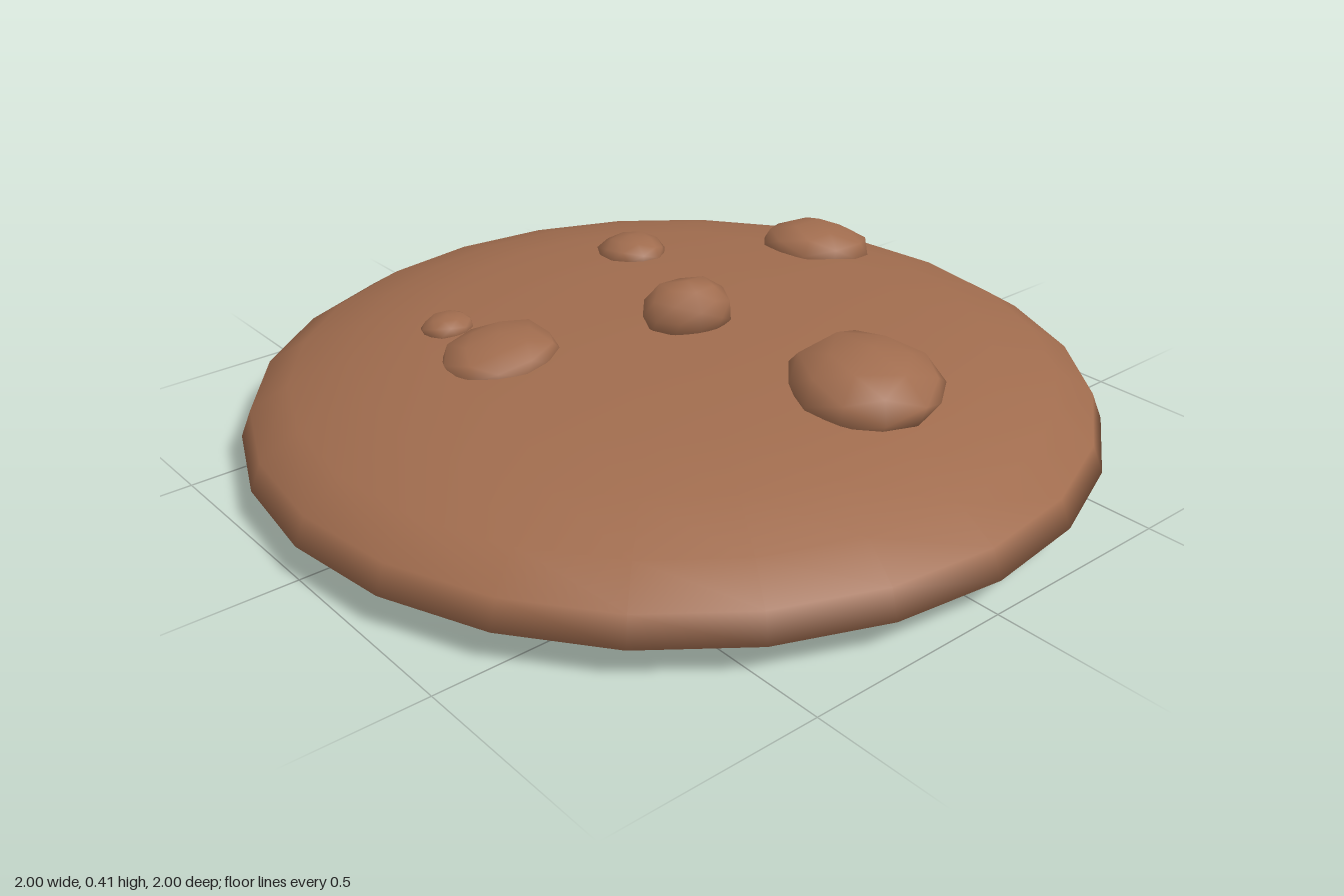
import * as THREE from 'three';
import { mergeVertices } from 'three/addons/utils/BufferGeometryUtils.js';

// Smooth-shaded low-poly lump with slightly irregular corners
function lumpGeometry(phase) {
  let geo = new THREE.IcosahedronGeometry(1, 1);
  geo.deleteAttribute('uv');
  geo.deleteAttribute('normal');
  geo = mergeVertices(geo, 1e-3);
  const p = geo.attributes.position;
  for (let i = 0; i < p.count; i++) {
    const s = 1 + 0.05 * Math.sin(i * 2.4 + phase);
    p.setXYZ(i, p.getX(i) * s, p.getY(i) * s, p.getZ(i) * s);
  }
  geo.computeVertexNormals();
  return geo;
}

export function createModel() {
  const group = new THREE.Group();
  const brown = new THREE.MeshStandardMaterial({ color: 0xa06c4e });
  brown.name = 'bakedBrown';

  // Domed disc, bottom centre to top centre
  const profile = [
    [0, 0], [0.35, 0.001], [0.68, 0.01], [0.89, 0.03], [1, 0.08],
    [0.975, 0.143], [0.885, 0.2], [0.74, 0.25], [0.57, 0.285], [0.29, 0.303], [0, 0.306],
  ].map(([x, y]) => new THREE.Vector2(x, y));
  const disc = new THREE.Mesh(new THREE.LatheGeometry(profile, 24), brown);
  disc.name = 'cookieBase';
  group.add(disc);

  // Chips: x, y, z centre, then x, y, z radii, turn about y, lean about x and z
  const chips = [
    [-0.155, 0.268, -0.615, 0.143, 0.07, 0.145, 0.3, -0.2, 0.05],
    [-0.385, 0.292, -0.185, 0.09, 0.047, 0.085, 0.9, 0, 0.08],
    [0.05, 0.335, 0.0, 0.082, 0.075, 0.105, -0.45, 0, 0],
    [0.53, 0.302, -0.095, 0.172, 0.086, 0.174, 0.5, 0, -0.1],
    [-0.108, 0.29, 0.41, 0.13, 0.053, 0.137, 0.2, 0.08, 0],
    [-0.307, 0.29, 0.42, 0.058, 0.032, 0.062, 1.2, 0.05, 0.05],
  ];
  chips.forEach(([x, y, z, rx, ry, rz, turn, leanX, leanZ], i) => {
    const geo = lumpGeometry(i * 1.7);
    geo.rotateY(turn * 2);
    geo.scale(rx, ry, rz);
    const chip = new THREE.Mesh(geo, brown);
    chip.name = 'chip' + (i + 1);
    chip.position.set(x, y, z);
    chip.rotation.set(leanX, i === 2 ? turn : 0, leanZ);
    group.add(chip);
  });
  return group;
}
